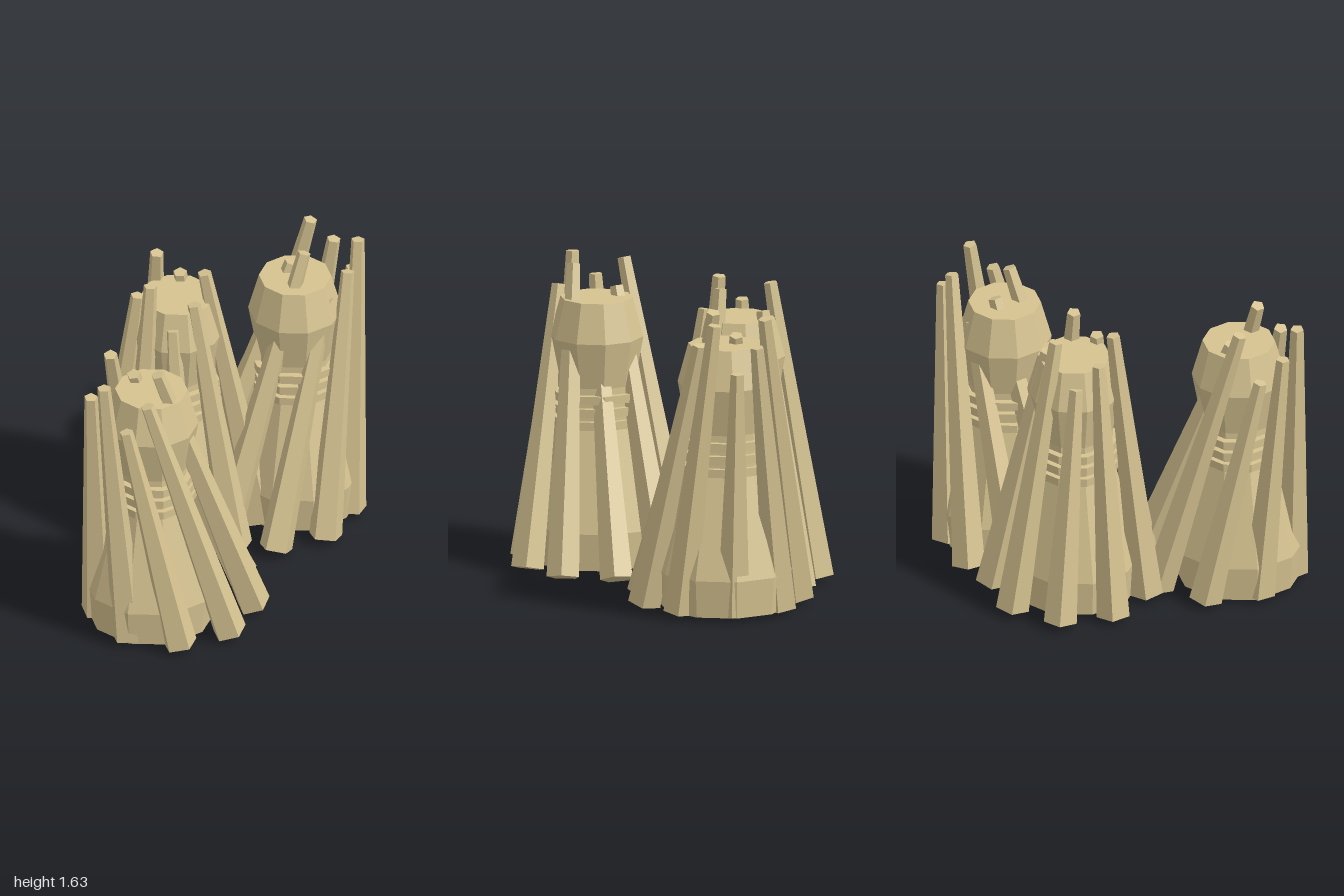
import * as THREE from 'three';

const wood = new THREE.MeshStandardMaterial({ color: 0xd6c391 });
wood.name = 'paleWood';

const flat = (geometry) => {
  const g = geometry.index ? geometry.toNonIndexed() : geometry;
  g.computeVertexNormals();
  return g;
};

function addPart(parent, name, geometry) {
  const mesh = new THREE.Mesh(flat(geometry), wood);
  mesh.name = name;
  parent.add(mesh);
  return mesh;
}

// Tapered five-sided pole running from its foot to its tip
function addPole(parent, foot, tip) {
  const dir = tip.clone().sub(foot);
  const pole = addPart(parent, 'pole', new THREE.CylinderGeometry(0.037, 0.092, dir.length(), 5));
  pole.position.copy(foot).add(tip).multiplyScalar(0.5);
  pole.quaternion.setFromUnitVectors(new THREE.Vector3(0, 1, 0), dir.normalize());
}

// Ten-sided core: wide foot, tapering waist, swollen head
const CORE = [[0, 0.02], [0.345, 0.02], [0.36, 0.22], [0.215, 0.76], [0.205, 0.98], [0.25, 1.23], [0.193, 1.44], [0, 1.44]]
  .map(([r, y]) => new THREE.Vector2(r, y));
const POLE_TOPS = [1.355, 1.485, 1.615];
const POLE_COUNT = 9;

function ringPoint(angle, radius, shift, y) {
  return new THREE.Vector3(shift + Math.cos(angle) * radius, y, -Math.sin(angle) * radius);
}

function createBundle({ name, x, z, footShift, tipShift }) {
  const bundle = new THREE.Group();
  bundle.name = name;
  bundle.position.set(x, 0, z);

  addPart(bundle, 'core', new THREE.LatheGeometry(CORE, 10, Math.PI / 2));

  // Three bindings around the waist
  for (const y of [0.782, 0.852, 0.922]) {
    const band = addPart(bundle, 'binding', new THREE.CylinderGeometry(0.242, 0.242, 0.045, 10, 1, false, Math.PI / 2));
    band.position.y = y;
  }

  // Ring of leaning poles with three repeating lengths
  for (let i = 0; i < POLE_COUNT; i++) {
    const angle = (i / POLE_COUNT) * Math.PI * 2;
    addPole(
      bundle,
      ringPoint(angle, 0.42, footShift, 0.03),
      ringPoint(angle, 0.18, tipShift, POLE_TOPS[i % 3])
    );
  }
  return bundle;
}

export function createModel() {
  const model = new THREE.Group();
  model.name = 'poleBundles';
  model.add(
    createBundle({ name: 'rightBundle', x: -0.62, z: 0.33, footShift: 0.15, tipShift: -0.175 }),
    createBundle({ name: 'backBundle', x: -0.02, z: -0.32, footShift: 0.02, tipShift: -0.045 }),
    createBundle({ name: 'leftBundle', x: 0.6, z: -0.125, footShift: -0.155, tipShift: 0.185 })
  );
  return model;
}
